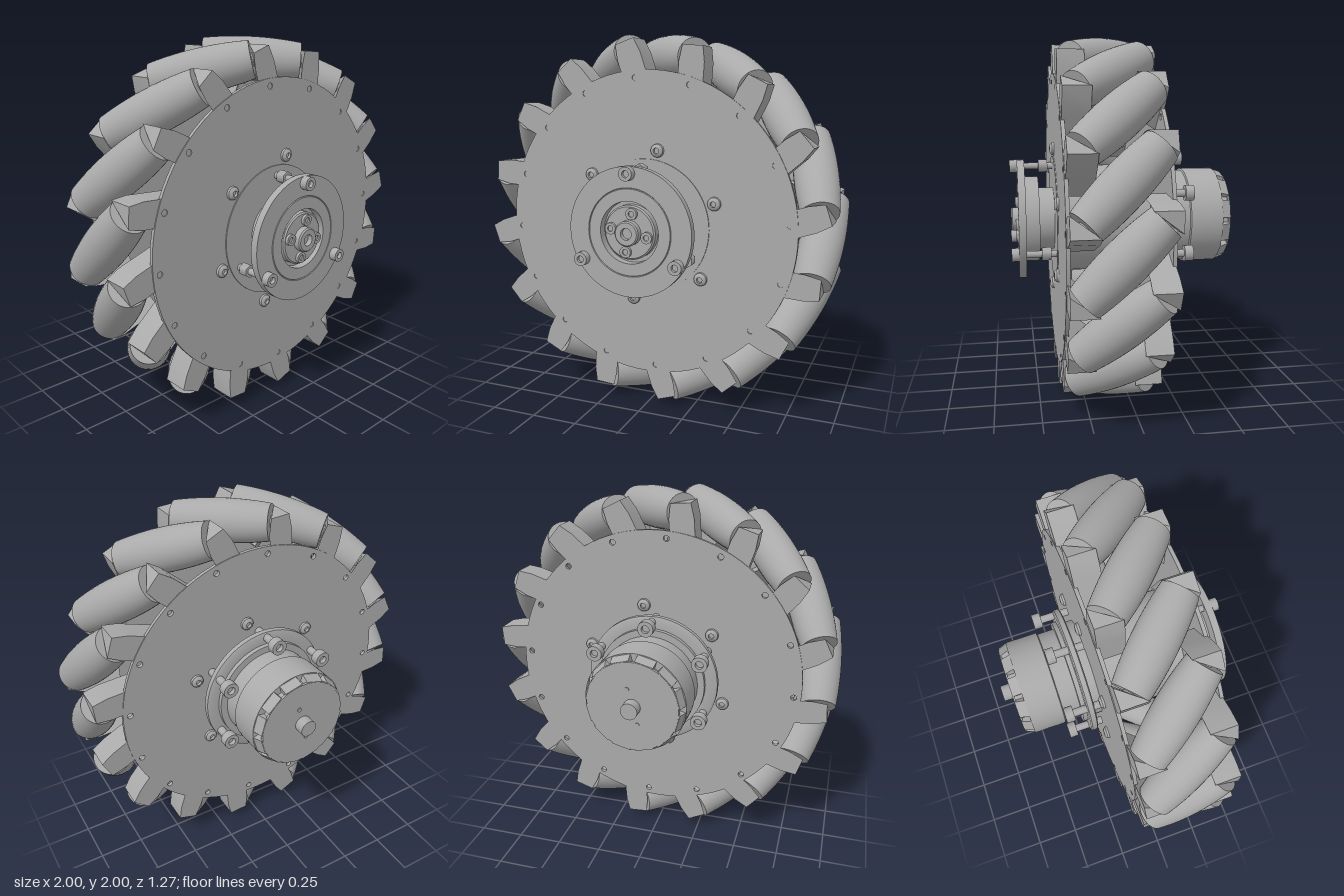
import * as THREE from 'three';
import { toCreasedNormals } from 'three/addons/utils/BufferGeometryUtils.js';

const grey = new THREE.MeshStandardMaterial({ color: 0xaaaaaa });
grey.name = 'metal grey';

const COUNT = 16, MID_Z = 0.128, HALF_W = 0.262;
const rad = THREE.MathUtils.degToRad;

function add(parent, name, geometry) {
  const mesh = new THREE.Mesh(geometry, grey);
  mesh.name = name;
  parent.add(mesh);
  return mesh;
}

// Turned part around the z axis; profile is [radius, z] pairs with z rising
function turned(parent, name, profile, segments = 64) {
  const g = new THREE.LatheGeometry(profile.map(([r, z]) => new THREE.Vector2(r, z)), segments);
  g.rotateX(Math.PI / 2);
  return add(parent, name, toCreasedNormals(g, rad(30)));
}

// Solid cylinder along z from z0 to z1
function rod(parent, name, r, z0, z1, x = 0, y = 0, segments = 20) {
  const g = new THREE.CylinderGeometry(r, r, z1 - z0, segments);
  g.rotateX(Math.PI / 2);
  g.translate(x, y, (z0 + z1) / 2);
  return add(parent, name, g);
}

// Call fn(x, y, angle) for each listed angle in degrees
function ring(radius, angles, fn) {
  angles.forEach((d) => fn(radius * Math.cos(rad(d)), radius * Math.sin(rad(d)), rad(d)));
}
const evenly = (n, start) => Array.from({ length: n }, (_, i) => start + (i * 360) / n);

// Socket head: hollow top towards the given z direction (1 or -1)
function socketHead(parent, name, r, z0, height, x, y, dir) {
  const head = turned(parent, name, [
    [0, 0], [r, 0], [r, height], [r * 0.5, height], [r * 0.5, height * 0.5], [0, height * 0.5],
  ], 20);
  head.position.set(x, y, z0);
  if (dir < 0) head.rotation.y = Math.PI;
}

// Side plate with a circle of small holes
function sidePlate(parent, name, z0) {
  const shape = new THREE.Shape().absarc(0, 0, 0.81, 0, Math.PI * 2);
  ring(0.77, evenly(COUNT, 4), (x, y) =>
    shape.holes.push(new THREE.Path().absarc(x, y, 0.016, 0, Math.PI * 2, true)));
  const g = new THREE.ExtrudeGeometry(shape, { depth: 0.02, bevelEnabled: false, curveSegments: 48 });
  g.translate(0, 0, z0);
  add(parent, name, toCreasedNormals(g, rad(30)));
}

// Barrel roller, its diagonal axis and the two wedge brackets that hold it
function rollerGeometry() {
  const h = 0.26, axisR = 0.885, pts = [new THREE.Vector2(0, -h)];
  for (let i = 0; i <= 12; i++) {
    const s = -h + (2 * h * i) / 12;
    pts.push(new THREE.Vector2(1 - Math.sqrt(axisR * axisR + (s * s) / 2), s));
  }
  pts.push(new THREE.Vector2(0, h));
  const g = new THREE.LatheGeometry(pts, 40);
  g.rotateX(Math.PI / 2).rotateY(Math.PI / 4).translate(0, axisR, 0);
  return toCreasedNormals(g, rad(35));
}

function bracketGeometry() {
  const shape = new THREE.Shape([[0.125, -0.257], [0.26, -0.257], [0.26, -0.115], [0.245, -0.13]]
    .map(([x, y]) => new THREE.Vector2(x, y)));
  const g = new THREE.ExtrudeGeometry(shape, { depth: 0.32, bevelEnabled: false, steps: 4 });
  g.rotateX(-Math.PI / 2).translate(0, 0.62, 0);
  const p = g.attributes.position;
  // narrow the outer end
  for (let i = 0; i < p.count; i++) {
    if (p.getY(i) > 0.93) p.setX(i, 0.192 + (p.getX(i) - 0.192) * 0.8);
  }
  g.computeVertexNormals();
  return toCreasedNormals(g, rad(20));
}

function buildRollers(parent) {
  const roller = rollerGeometry(), bracket = bracketGeometry();
  const pin = new THREE.CylinderGeometry(0.035, 0.035, 0.58, 16);
  pin.rotateX(Math.PI / 2).rotateY(Math.PI / 4).translate(0, 0.885, 0);
  evenly(COUNT, -4).forEach((d) => {
    const unit = new THREE.Group();
    unit.name = 'rollerUnit';
    unit.position.z = MID_Z;
    unit.rotation.z = rad(d - 90);
    add(unit, 'roller', roller);
    add(unit, 'rollerPin', pin);
    add(unit, 'frontBracket', bracket);
    add(unit, 'backBracket', bracket).rotation.y = Math.PI;
    parent.add(unit);
  });
}

// Domed screws on both side plates
function buildPlateScrews(parent) {
  ring(0.405, evenly(6, 20), (x, y) => {
    for (const dir of [1, -1]) {
      const s = turned(parent, 'domedScrew', [
        [0.036, 0], [0.034, 0.012], [0.025, 0.021], [0.015, 0.024], [0.015, 0.008], [0, 0.008],
      ], 20);
      s.position.set(x, y, MID_Z + dir * HALF_W);
      if (dir < 0) s.rotation.y = Math.PI;
    }
  });
}

// Shaft coupling and bolted flange at the front
function buildFrontHub(parent) {
  turned(parent, 'frontBaseDisc', [[0, 0.385], [0.355, 0.385], [0.355, 0.396], [0, 0.396]]);
  turned(parent, 'frontFlange', [
    [0, 0.39], [0.175, 0.39], [0.175, 0.48], [0.24, 0.48], [0.24, 0.555], [0.335, 0.555],
    [0.335, 0.595], [0.228, 0.595], [0.225, 0.59], [0.222, 0.595], [0.16, 0.595], [0.16, 0.55], [0, 0.55],
  ]);
  turned(parent, 'couplingFace', [[0, 0.545], [0.14, 0.545], [0.14, 0.585], [0.132, 0.592], [0, 0.592]]);
  ring(0.1, evenly(4, 80), (x, y) => socketHead(parent, 'couplingScrew', 0.03, 0.59, 0.018, x, y, 1));
  turned(parent, 'frontShaft', [
    [0.065, 0.58], [0.065, 0.625], [0.058, 0.632], [0.03, 0.632], [0.03, 0.605], [0, 0.605],
  ], 32);
  ring(0.3, [90, 210, 330], (x, y) => {
    rod(parent, 'flangeBolt', 0.018, 0.39, 0.6, x, y);
    rod(parent, 'flangeNut', 0.036, 0.425, 0.475, x, y, 6);
    socketHead(parent, 'flangeBoltHead', 0.036, 0.595, 0.04, x, y, 1);
  });
}

// Motor with its mounting flange at the back
function buildMotor(parent) {
  turned(parent, 'motorMount', [
    [0, -0.25], [0.3, -0.25], [0.3, -0.225], [0.35, -0.225], [0.365, -0.218], [0.365, -0.19],
    [0.35, -0.183], [0.28, -0.183], [0.28, -0.13], [0, -0.13],
  ]);
  turned(parent, 'motorBody', [
    [0, -0.53], [0.272, -0.53], [0.272, -0.35], [0.262, -0.345], [0.262, -0.25], [0, -0.25],
  ]);
  // slotted tapered end cap
  turned(parent, 'endCap', [
    [0, -0.582], [0.245, -0.582], [0.248, -0.572], [0.23, -0.572], [0.23, -0.525], [0, -0.525],
  ]);
  const block = new THREE.BoxGeometry(0.04, 0.1, 0.055);
  const p = block.attributes.position;
  for (let i = 0; i < p.count; i++) {
    if (p.getX(i) > 0 && p.getZ(i) < 0) p.setX(i, 0);
  }
  block.computeVertexNormals();
  ring(0.247, evenly(12, 15), (x, y, a) => {
    const b = add(parent, 'capSegment', block);
    b.position.set(x, y, -0.553);
    b.rotation.z = a;
  });
  rod(parent, 'motorShaft', 0.045, -0.638, -0.57, 0, 0, 32);
  ring(0.1, [75, 255], (x, y) => rod(parent, 'capPin', 0.012, -0.587, -0.57, x, y));
  ring(0.335, [30, 90, 150, 210, 330], (x, y) => {
    rod(parent, 'mountBolt', 0.022, -0.31, -0.14, x, y);
    socketHead(parent, 'mountBoltHead', 0.043, -0.3, 0.048, x, y, -1);
  });
  // cable terminals below the body
  add(parent, 'terminalBlock', new THREE.BoxGeometry(0.15, 0.05, 0.06)).position.set(0, -0.255, -0.275);
  for (let i = -1; i <= 1; i++) {
    for (const y of [-0.235, -0.27]) rod(parent, 'terminal', 0.018, -0.305, -0.26, i * 0.045, y, 12);
  }
}

export function createModel() {
  const model = new THREE.Group();
  model.name = 'rollerWheel';
  const wheel = new THREE.Group();
  wheel.name = 'wheel';
  wheel.position.y = 1;
  model.add(wheel);

  sidePlate(wheel, 'frontPlate', MID_Z + HALF_W - 0.02);
  sidePlate(wheel, 'backPlate', MID_Z - HALF_W);
  rod(wheel, 'innerHub', 0.3, MID_Z - 0.25, MID_Z + 0.25, 0, 0, 48);
  buildRollers(wheel);
  buildPlateScrews(wheel);
  buildFrontHub(wheel);
  buildMotor(wheel);
  return model;
}
